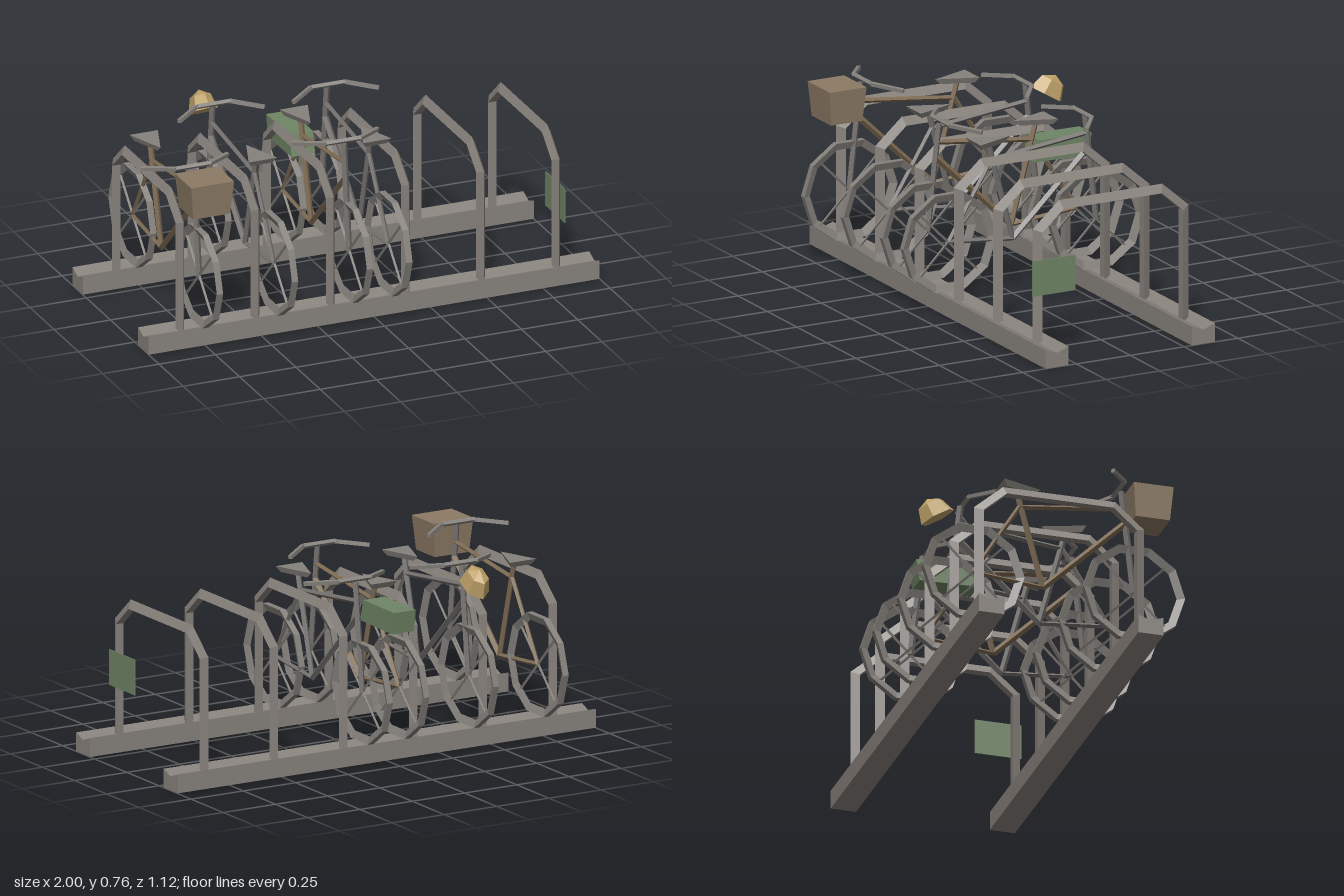
import * as THREE from 'three';

const paint = (name, color) => {
  const m = new THREE.MeshStandardMaterial({ color, flatShading: true });
  m.name = name;
  return m;
};

export function createModel() {
  const steel = paint('rack steel', 0x88827c);
  const rubber = paint('wheel grey', 0x85817c);
  const darkFrame = paint('grey frame', 0x74716e);
  const brownFrame = paint('brown frame', 0x7d6a52);
  const green = paint('dull green', 0x6f8565);
  const wicker = paint('wicker brown', 0x8c7a64);
  const tan = paint('helmet tan', 0xbda067);

  const add = (parent, name, geometry, material) => {
    const mesh = new THREE.Mesh(geometry, material);
    mesh.name = name;
    parent.add(mesh);
    return mesh;
  };

  // Joins triangular cross-sections into a three-sided bar
  const sweep = (sections) => {
    const pos = [];
    for (let i = 0; i < sections.length - 1; i++) {
      for (let k = 0; k < 3; k++) {
        const n = (k + 1) % 3;
        const [a, b, c, d] = [sections[i][k], sections[i][n], sections[i + 1][n], sections[i + 1][k]];
        pos.push(...a, ...b, ...c, ...a, ...c, ...d);
      }
    }
    const g = new THREE.BufferGeometry();
    g.setAttribute('position', new THREE.Float32BufferAttribute(pos, 3));
    g.computeVertexNormals();
    return g;
  };

  // Extrudes a [z, y] outline along x, centred on x = 0
  const extrudeX = (outline, width) => {
    const shape = new THREE.Shape(outline.map(([z, y]) => new THREE.Vector2(-z, y)));
    return new THREE.ExtrudeGeometry(shape, { depth: width, bevelEnabled: false })
      .rotateY(Math.PI / 2).translate(-width / 2, 0, 0);
  };

  // Straight faceted bar between two points
  const rod = (parent, name, a, b, r, material, sides = 4) => {
    const p = new THREE.Vector3(...a), q = new THREE.Vector3(...b);
    const dir = q.clone().sub(p);
    const mesh = add(parent, name, new THREE.CylinderGeometry(r, r, dir.length(), sides), material);
    mesh.position.copy(p).add(q).multiplyScalar(0.5);
    mesh.quaternion.setFromUnitVectors(new THREE.Vector3(0, 1, 0), dir.normalize());
    return mesh;
  };

  const model = new THREE.Group();
  model.name = 'bicycleRack';

  // Grooved ground rails
  for (const s of [1, -1]) {
    const rail = add(model, 'groundRail', extrudeX(
      [[-0.054, 0], [0.054, 0], [0.054, 0.08], [0, 0.06], [-0.054, 0.08]], 2), steel);
    rail.position.z = 0.34 * s;
  }

  // Hoops with the ridge on the outside
  const mirrored = (half) => [...half, ...half.map(([z, y]) => [-z, y]).reverse()];
  const ridge = mirrored([[0.363, 0.045], [0.363, 0.545], [0.24, 0.652]]);
  const inner = mirrored([[0.327, 0.045], [0.327, 0.53], [0.228, 0.617]]);
  const hoopGeometry = sweep(ridge.map(([z, y], i) => {
    const [iz, iy] = inner[i];
    return [[0.019, iy, iz], [-0.019, iy, iz], [0, y, z]];
  }));
  for (let i = 0; i < 6; i++) {
    add(model, 'hoop', hoopGeometry, steel).position.x = -0.833 + i * 0.3333;
  }

  // Sign plate on the end hoop
  add(model, 'signPlate', new THREE.BoxGeometry(0.004, 0.15, 0.2), green).position.set(0.854, 0.34, 0.275);

  // Ten-sided wheel rim with a flat tread and inner ridge
  const rimSections = [];
  for (let i = 0; i <= 10; i++) {
    const t = (i / 10) * Math.PI * 2, y = Math.sin(t), z = Math.cos(t);
    rimSections.push([[-0.014, y * 0.217, z * 0.217], [0.014, y * 0.217, z * 0.217], [0, y * 0.184, z * 0.184]]);
  }
  const rimGeometry = sweep(rimSections);

  // Bicycle facing +z
  const makeBike = (x, facing, frame) => {
    const bike = new THREE.Group();
    bike.name = 'bicycle';
    bike.position.x = x;
    if (facing < 0) bike.rotation.y = Math.PI;
    model.add(bike);

    for (const s of [1, -1]) {
      const wheel = new THREE.Group();
      wheel.name = s > 0 ? 'frontWheel' : 'rearWheel';
      wheel.position.set(0, 0.29, 0.343 * s);
      bike.add(wheel);
      add(wheel, 'rim', rimGeometry, rubber);
      for (const k of [1, -1]) {
        rod(wheel, 'spokes', [0, -0.135 * k, -0.135], [0, 0.135 * k, 0.135], 0.006, rubber, 3);
      }
    }

    // Frame tubes as [name, start z, y, end z, y, radius]
    const tubes = [
      ['forkAndStem', 0.343, 0.29, 0.291, 0.74, 0.014],
      ['topTube', 0.3, 0.662, -0.145, 0.61, 0.011],
      ['downTube', 0.308, 0.6, -0.045, 0.262, 0.014],
      ['seatTube', -0.045, 0.262, -0.157, 0.68, 0.013],
      ['chainStay', -0.045, 0.262, -0.343, 0.29, 0.01],
      ['seatStay', -0.343, 0.29, -0.142, 0.615, 0.01],
    ];
    for (const [name, z1, y1, z2, y2, r] of tubes) {
      rod(bike, name, [0, y1, z1], [0, y2, z2], r, name === 'forkAndStem' ? darkFrame : frame);
    }

    // Swept handlebar
    rod(bike, 'handlebar', [-0.078, 0.75, 0.28], [0.078, 0.75, 0.28], 0.011, rubber);
    for (const s of [1, -1]) {
      rod(bike, 'grip', [0.075 * s, 0.75, 0.282], [0.19 * s, 0.738, 0.195], 0.011, rubber);
    }

    // Wedge saddle pointing forward
    const saddle = add(bike, 'saddle', new THREE.CylinderGeometry(1, 0.75, 0.024, 3), rubber);
    saddle.scale.set(0.073, 1, 0.116);
    saddle.position.set(0, 0.688, -0.17);
    return bike;
  };

  const basketBike = makeBike(-0.755, 1, brownFrame);
  const helmetBike = makeBike(-0.422, -1, darkFrame);
  const bagBike = makeBike(-0.09, 1, brownFrame);
  makeBike(0.085, -1, darkFrame);

  // Tapered front basket
  const basketGeometry = new THREE.BoxGeometry(0.19, 0.145, 0.17);
  const bp = basketGeometry.attributes.position;
  for (let i = 0; i < bp.count; i++) {
    if (bp.getY(i) < 0) bp.setXYZ(i, bp.getX(i) * 0.86, bp.getY(i), bp.getZ(i) * 0.86);
  }
  basketGeometry.computeVertexNormals();
  add(basketBike, 'basket', basketGeometry, wicker).position.set(0, 0.674, 0.4);

  // Helmet hung on the handlebar
  const helmet = new THREE.Group();
  helmet.name = 'helmet';
  helmet.position.set(0, 0.677, 0.388);
  helmet.rotation.x = 0.54;
  helmet.scale.set(0.058, 0.089, 0.082);
  helmetBike.add(helmet);
  add(helmet, 'helmetShell', new THREE.SphereGeometry(1, 6, 2, Math.PI / 2, Math.PI * 2, 0, Math.PI / 2), tan);
  add(helmet, 'helmetBase', new THREE.CircleGeometry(1, 6, Math.PI / 2).rotateX(Math.PI / 2), tan);

  // Rear carrier bag
  add(bagBike, 'carrierBag', extrudeX(
    [[-0.15, 0.617], [-0.39, 0.615], [-0.376, 0.522], [-0.126, 0.527]], 0.104), green);

  return model;
}
